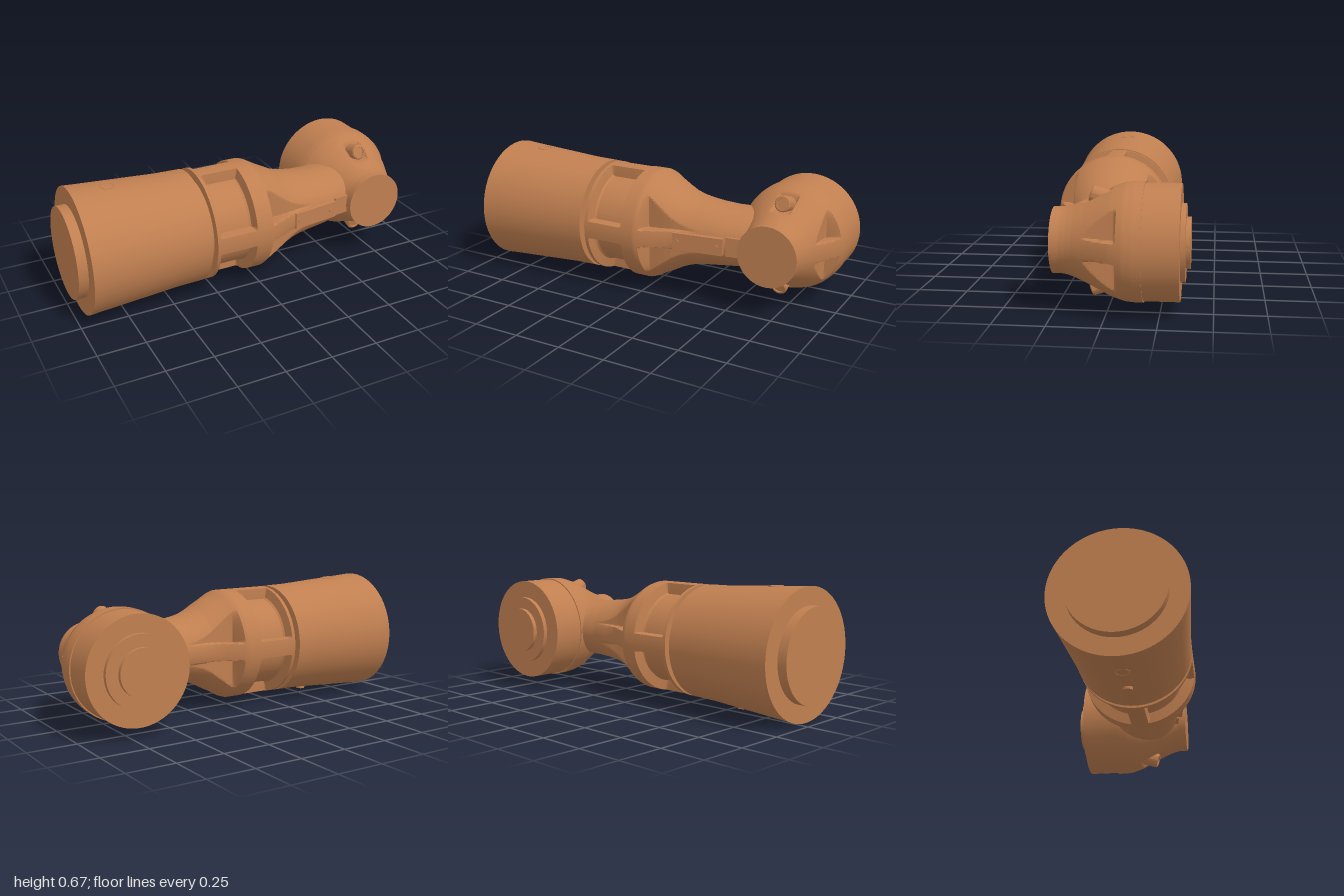
import * as THREE from 'three';
import { toCreasedNormals } from 'three/addons/utils/BufferGeometryUtils.js';

const material = new THREE.MeshStandardMaterial({ color: 0xc07f50 });
const CY = 0.335;      // height of both axes
const CZ = 0.054;      // depth of the main axis
const EX = 0.715;      // x of the elbow axis

function add(parent, name, geometry, x = 0, y = 0, z = 0) {
  const mesh = new THREE.Mesh(geometry, material);
  mesh.name = name;
  mesh.position.set(x, y, z);
  parent.add(mesh);
  return mesh;
}

const turned = (points) => toCreasedNormals(
  new THREE.LatheGeometry(points.map(([r, s]) => new THREE.Vector2(r, s)), 96), 0.4);

const ramp = (v, edge, soft = 0.012) => THREE.MathUtils.smoothstep(v, edge - soft / 2, edge + soft / 2);

// Interpolates stations [s, halfA, halfB, offsetB]
function station(list, s) {
  let i = 0;
  while (i < list.length - 2 && s > list[i + 1][0]) i++;
  const t = (s - list[i][0]) / (list[i + 1][0] - list[i][0]);
  return list[i].map((v, k) => THREE.MathUtils.lerp(v, list[i + 1][k], t));
}

// Capped skin around an axis; cut(s, a, b) returns the scale that sinks pockets
function pocketedSkin(list, rows, cut, toWorld) {
  const n = 288, position = [], index = [];
  const first = list[0][0], last = list[list.length - 1][0];
  for (let i = -1; i <= rows + 1; i++) {
    const cap = i < 0 || i > rows;
    const s = THREE.MathUtils.lerp(first, last, THREE.MathUtils.clamp(i / rows, 0, 1));
    const [, ra, rb, off] = station(list, s);
    for (let j = 0; j < n; j++) {
      const t = j / n * Math.PI * 2;
      let a = ra * Math.cos(t), b = rb * Math.sin(t);
      const k = cap ? 0 : cut(s, a, b);
      position.push(...toWorld(s, a * k, b * k + off));
    }
  }
  for (let i = 0; i < rows + 2; i++) {
    for (let j = 0; j < n; j++) {
      const p = i * n + j, q = i * n + (j + 1) % n;
      index.push(p, q, p + n, q, q + n, p + n);
    }
  }
  const g = new THREE.BufferGeometry();
  g.setAttribute('position', new THREE.Float32BufferAttribute(position, 3));
  g.setIndex(index);
  return toCreasedNormals(g, 0.5);
}

// Collar windows in four quadrants, and notches beside the front and back ribs
function forearmCut(s, a, b) {
  const r = Math.hypot(a, b);
  const A = Math.abs(a), B = Math.abs(b);
  const away = ramp(A, 0.052) * ramp(B, 0.052);
  const windowMask = away * ramp(s, -0.265) * (1 - ramp(s, -0.07));
  let k = 1 - windowMask * (1 - 0.24 / r);
  if (s > 0 && B > 0.19) {
    const notch = ramp(A, 0.052) * ramp(s, 0.04);
    k *= 1 - notch * (1 - 0.19 / B);
  }
  return k;
}

// Notches beside the outer rib, and screw slots above and below
function elbowCut(s, a, b) {
  const B = Math.abs(b);
  let k = 1;
  if (a > 0.19) k *= 1 - ramp(B, 0.052) * ramp(s, -0.055) * (1 - 0.19 / a);
  if (B > 0.185) {
    const slot = (1 - ramp(Math.abs(a), 0.05)) * ramp(s, -0.01, 0.03);
    k *= 1 - slot * (1 - 0.185 / B);
  }
  return k;
}

export function createModel() {
  const model = new THREE.Group();
  model.name = 'robotArmJoint';

  // Tapered housing with end flange and groove
  add(model, 'upperHousing', turned([
    [0, -1], [0.24, -1], [0.24, -0.95], [0.333, -0.95], [0.328, -0.88], [0.302, -0.46],
    [0.299, -0.32], [0.252, -0.32], [0.252, -0.28], [0, -0.28],
  ]).rotateZ(-Math.PI / 2), 0, CY, CZ);

  // Collar flowing into the slimmer arm
  const arm = [
    [-0.29, 0.298, 0.298, 0], [0.01, 0.298, 0.298, 0], [0.03, 0.291, 0.291, 0],
    [0.08, 0.262, 0.267, 0.003], [0.13, 0.237, 0.242, 0.005], [0.18, 0.21, 0.222, 0.003],
    [0.23, 0.19, 0.211, -0.003], [0.28, 0.178, 0.205, -0.008], [0.35, 0.168, 0.199, -0.012],
    [0.43, 0.16, 0.198, -0.021], [0.5, 0.156, 0.2, -0.037], [0.65, 0.145, 0.185, -0.05],
  ];
  add(model, 'collarAndArm', pocketedSkin(arm, 100, forearmCut,
    (s, a, b) => [s, CY + a, CZ + b]));

  // Elbow shell, narrowing towards the front
  const shell = [[-0.176, 0.283], [-0.13, 0.283], [-0.09, 0.279], [-0.06, 0.27], [-0.03, 0.26],
    [0, 0.246], [0.05, 0.221], [0.1, 0.196], [0.15, 0.174], [0.18, 0.164], [0.21, 0.158], [0.255, 0.158]]
    .map(([s, r]) => [s, r, r, 0]);
  add(model, 'elbowShell', pocketedSkin(shell, 72, elbowCut,
    (s, a, b) => [EX + a, CY + b, s]));

  // Drum behind the elbow with stepped output flange
  add(model, 'elbowDrum', turned([
    [0, -0.39], [0.121, -0.39], [0.121, -0.368], [0.185, -0.368], [0.185, -0.345],
    [0.277, -0.345], [0.277, -0.17], [0, -0.17],
  ]).rotateX(Math.PI / 2), EX, CY, 0);

  // Screws in the elbow slots
  for (const side of [1, -1]) {
    const screw = add(model, 'elbowScrew', turned([
      [0, -0.1], [0.042, -0.1], [0.042, 0.008], [0.036, 0.014], [0.028, 0.014], [0.028, 0.006], [0, 0.006],
    ]).rotateX(Math.PI / 2), EX, CY + side * 0.222, 0.065);
    screw.rotation.x = -side * 0.3;
  }

  // Cover strip along the front of the arm
  const strip = new THREE.Group();
  strip.name = 'coverStrip';
  strip.position.set(0.335, CY, 0.246);
  strip.rotation.y = 0.135;
  model.add(strip);
  add(strip, 'stripPlate', new THREE.BoxGeometry(0.27, 0.09, 0.03));
  for (const x of [-0.11, 0.1]) {
    add(strip, 'stripScrew', new THREE.CylinderGeometry(0.011, 0.011, 0.008, 20).rotateX(Math.PI / 2), x, 0, 0.016);
  }
  add(model, 'stripEnd', new THREE.BoxGeometry(0.085, 0.1, 0.03), 0.52, CY, 0.204).rotation.y = 0.13;

  // Stud below the housing and plugs above and below
  add(model, 'lowerStud', new THREE.CylinderGeometry(0.025, 0.025, 0.05, 32), -0.56, 0.036, CZ);
  for (const side of [1, -1]) {
    const plug = add(model, 'housingPlug', new THREE.TorusGeometry(0.035, 0.004, 8, 40).rotateX(Math.PI / 2),
      -0.755, CY + side * 0.319, CZ);
    plug.rotation.z = -side * 0.062;
  }
  return model;
}
